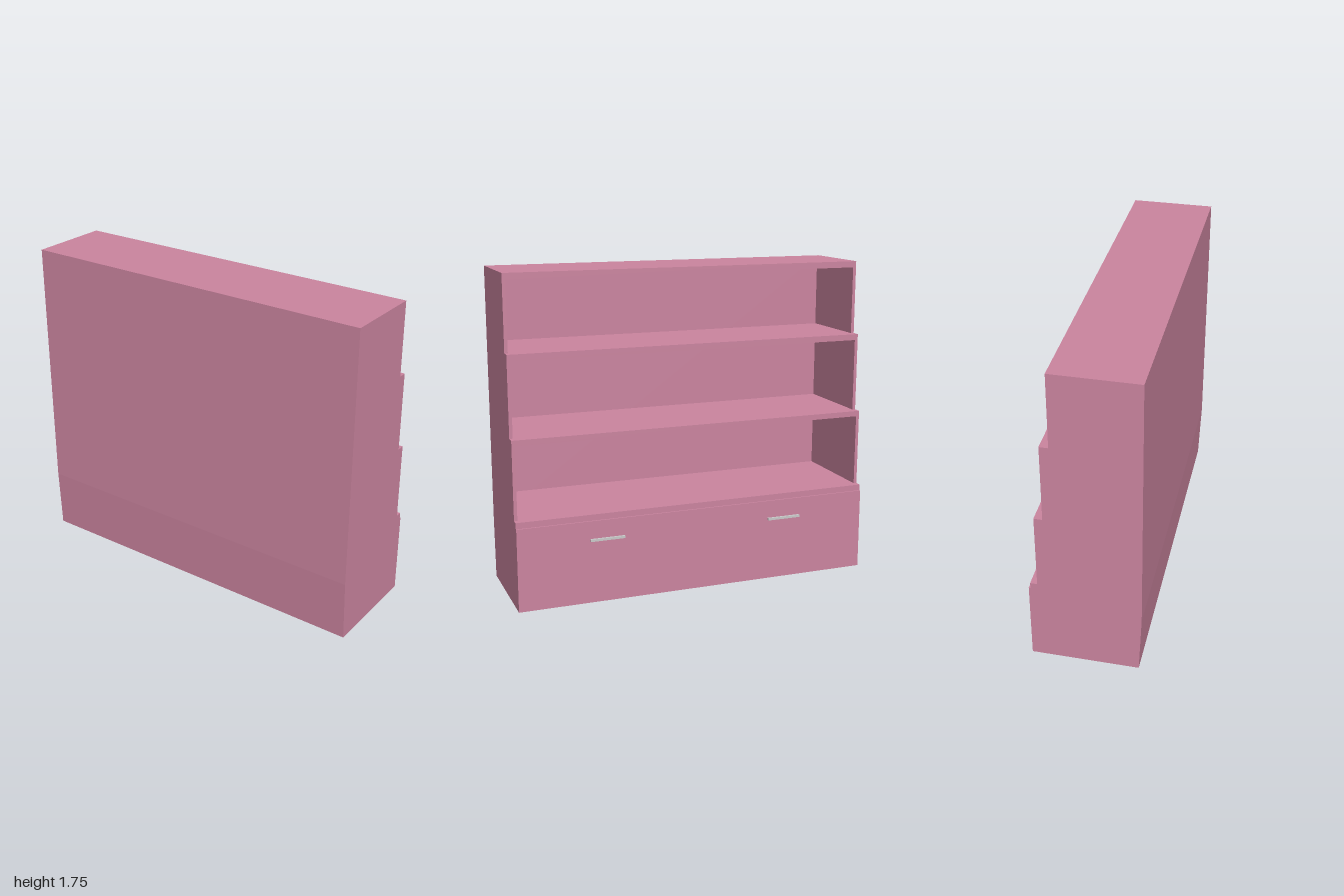
import * as THREE from 'three';

export function createModel() {
  const group = new THREE.Group();
  const pink = new THREE.MeshStandardMaterial({ color: 0xcc85a0 });
  const grey = new THREE.MeshStandardMaterial({ color: 0xcccccc });

  // Extrude an x/y outline along z, centred on zMid
  function extrude(name, points, depth, zMid) {
    const shape = new THREE.Shape(points.map(([x, y]) => new THREE.Vector2(x, y)));
    const geo = new THREE.ExtrudeGeometry(shape, { depth, bevelEnabled: false });
    geo.translate(0, 0, zMid - depth / 2);
    const mesh = new THREE.Mesh(geo, pink);
    mesh.name = name;
    group.add(mesh);
  }

  // Box from its x and y limits
  function box(name, x0, x1, y0, y1, depth, z = 0, material = pink) {
    const mesh = new THREE.Mesh(new THREE.BoxGeometry(x1 - x0, y1 - y0, depth), material);
    mesh.position.set((x0 + x1) / 2, (y0 + y1) / 2, z);
    mesh.name = name;
    group.add(mesh);
  }

  const panel = 0.018;
  const inner = 2 - 2 * panel;

  // Stepped side panels
  const profile = [
    [-0.287, 0], [0.288, 0], [0.288, 0.452], [0.279, 0.452], [0.279, 0.485],
    [0.242, 0.485], [0.242, 0.91], [0.197, 0.91], [0.197, 1.343],
    [0.15, 1.343], [0.15, 1.747], [-0.3, 1.747], [-0.3, 0.34],
  ];
  for (const s of [1, -1]) extrude(s > 0 ? 'leftSide' : 'rightSide', profile, panel, s * (1 - panel / 2));

  // Back panel, tucked in slightly at the foot
  extrude('backPanel', [
    [-0.287, 0], [-0.267, 0], [-0.282, 0.34], [-0.282, 1.747], [-0.3, 1.747], [-0.3, 0.34],
  ], inner, 0);

  // Shelves, deeper towards the bottom: [front x, bottom y, top y]
  const shelves = [[0.279, 0.452, 0.485], [0.242, 0.88, 0.91], [0.197, 1.31, 1.343], [0.15, 1.713, 1.747]];
  shelves.forEach(([x, y0, y1], i) => box(i === 3 ? 'topBoard' : 'shelf' + (i + 1), -0.282, x, y0, y1, inner));

  // Closed drawer base
  extrude('drawerBase', [[-0.267, 0], [0.288, 0], [0.288, 0.452], [-0.282, 0.452], [-0.282, 0.34]], inner, 0);

  // Drawer handles
  for (const s of [1, -1]) box(s > 0 ? 'leftHandle' : 'rightHandle', 0.288, 0.3, 0.342, 0.355, 0.19, s * 0.513, grey);

  return group;
}
